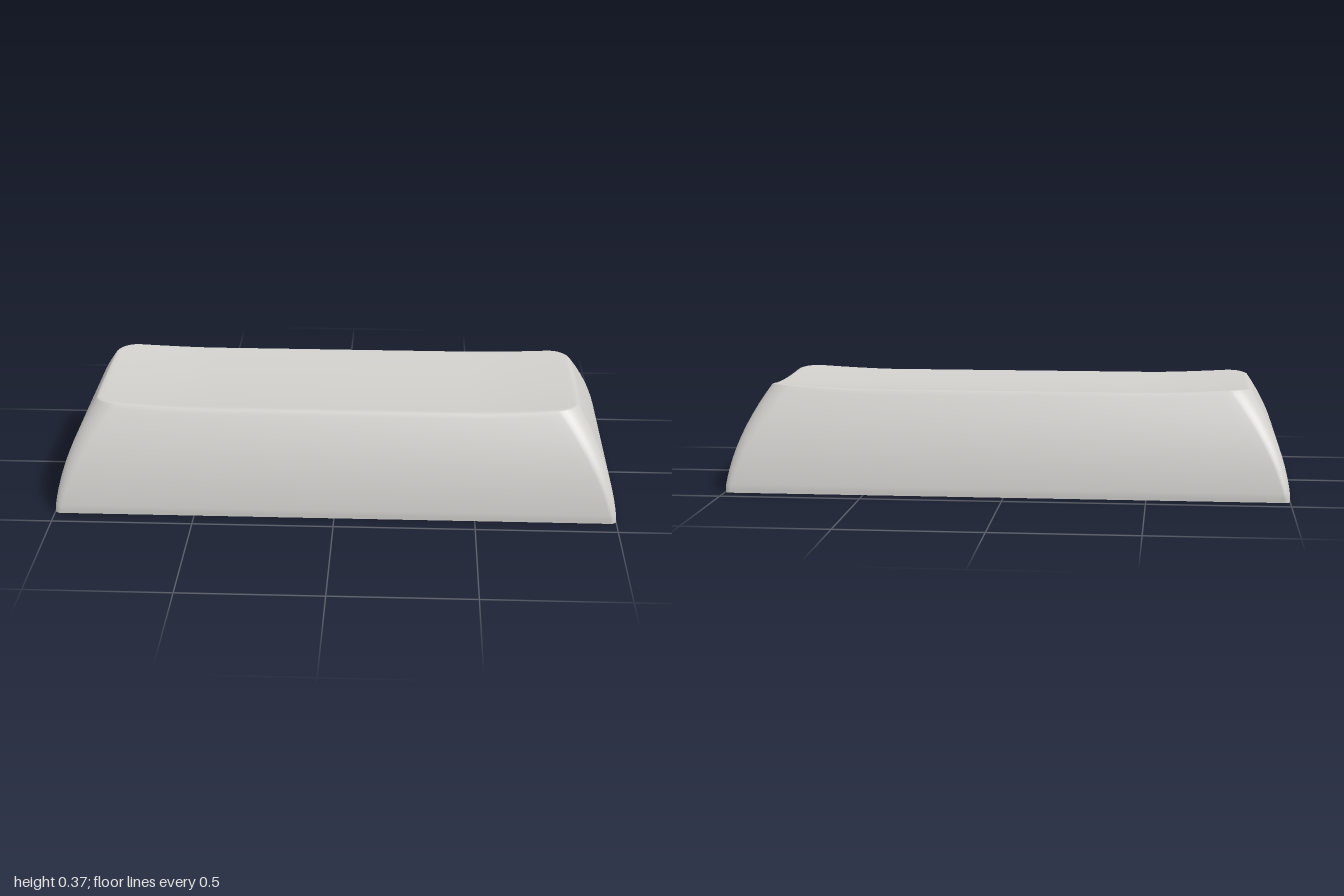
import * as THREE from 'three';
import { mergeVertices, toCreasedNormals } from 'three/addons/utils/BufferGeometryUtils.js';

const HX = 1, HZ = 0.435;            // half footprint
const LONG = 40, SHORT = 16, CORNER = 8;
const RIM = 0.149, RIM_DROP = 0.005; // inset of the dish edge, softening of the rim
const CEILING = 0.252;

// Height of the dished top: hollow across z, lifting near both ends
function dish(x, z) {
  const end = Math.max(0, (Math.abs(x) - 0.5) / 0.36);
  return 0.34 + 0.0185 * (z / 0.28) ** 2 + 0.018 * end ** 1.5;
}

// Inward lean of a side at height y: a short upright foot, then an arc
function lean(y, start) {
  const t = Math.max(0, y - 0.02) / 0.35;
  return start * t + (0.136 - start) * t * t;
}

// Outline of the outer body at height y
const bodyLoop = (y) => loop(HX - lean(y, 0.04), HZ - lean(y, 0.055), 0.02 + 0.06 * y / 0.37);

// Rounded rectangle loop in x/z with evenly divided sides
function loop(hx, hz, radius) {
  hx = Math.max(hx, 0);
  hz = Math.max(hz, 0);
  const r = Math.min(radius, hx, hz), pts = [];
  const corners = [[1, 1], [-1, 1], [-1, -1], [1, -1]];
  corners.forEach(([sx, sz], q) => {
    const cx = sx * (hx - r), cz = sz * (hz - r);
    for (let i = 0; i <= CORNER; i++) {
      const a = (q + i / CORNER) * Math.PI / 2;
      pts.push([cx + r * Math.cos(a), cz + r * Math.sin(a)]);
    }
    const [nx, nz] = corners[(q + 1) % 4];
    const a = (q + 1) * Math.PI / 2;
    const end = [nx * (hx - r) + r * Math.cos(a), nz * (hz - r) + r * Math.sin(a)];
    const start = pts[pts.length - 1], n = q % 2 ? SHORT : LONG;
    for (let i = 1; i < n; i++) {
      pts.push([0, 1].map((k) => start[k] + (end[k] - start[k]) * i / n));
    }
  });
  return pts;
}

// Skin a list of equal-length rings of [x, y, z]
function loft(rings, flip) {
  const n = rings[0].length, index = [];
  for (let i = 0; i < rings.length - 1; i++) {
    for (let j = 0; j < n; j++) {
      const a = i * n + j, b = i * n + (j + 1) % n, c = a + n, d = b + n;
      if (flip) index.push(a, b, c, b, d, c);
      else index.push(a, c, b, b, c, d);
    }
  }
  const geo = new THREE.BufferGeometry();
  geo.setAttribute('position', new THREE.Float32BufferAttribute(rings.flat(2), 3));
  geo.setIndex(index);
  return geo;
}

function outerShell() {
  const rings = [];
  // Curved sides, ending just below the dished rim
  for (const u of [0, 0.03, 0.055, 0.08, 0.13, 0.2, 0.3, 0.4, 0.5, 0.6, 0.7, 0.8, 0.9, 0.96, 1]) {
    rings.push(bodyLoop(u * 0.365).map(([x, z], k) => {
      const y = u * (dish(x, z) - RIM_DROP);
      const p = bodyLoop(y)[k];
      return [p[0], y, p[1]];
    }));
  }
  // Softened rim, then the dish closing to a line along the middle
  const rim = rings[rings.length - 1];
  const inner = loop(HX - RIM, HZ - RIM, 0.07);
  for (const s of [0.2, 0.5, 1]) {
    rings.push(inner.map(([x, z], k) => {
      const px = rim[k][0] + (x - rim[k][0]) * s, pz = rim[k][2] + (z - rim[k][2]) * s;
      return [px, dish(px, pz) - RIM_DROP * (1 - s) ** 2.5, pz];
    }));
  }
  for (let i = 1; i <= 10; i++) {
    const inset = RIM + (HZ - RIM) * i / 10;
    rings.push(loop(HX - inset, HZ - inset, 0.07 * (1 - i / 10)).map(([x, z]) => [x, dish(x, z), z]));
  }
  const geo = mergeVertices(loft(rings, false), 1e-5);
  geo.computeVertexNormals();
  return geo;
}

// Bottom lip, tapered inner walls and flat ceiling
function cavity() {
  const levels = [
    [HX, HZ, 0.02, 0], [0.957, 0.392, 0, 0],
    [0.877, 0.312, 0, CEILING], [0.565, 0, 0, CEILING],
  ];
  const rings = levels.map(([hx, hz, r, y]) => loop(hx, hz, r).map(([x, z]) => [x, y, z]));
  return toCreasedNormals(loft(rings, true), 0.2);
}

// Round post with a cross-shaped socket
function stemGeometry() {
  const shape = new THREE.Shape().absarc(0, 0, 0.133, 0, Math.PI * 2);
  const L = 0.102, w = 0.029;
  const cross = [
    [L, -w], [L, w], [w, w], [w, L], [-w, L], [-w, w],
    [-L, w], [-L, -w], [-w, -w], [-w, -L], [w, -L], [w, -w],
  ];
  shape.holes.push(new THREE.Path(cross.map(([x, y]) => new THREE.Vector2(x, y))));
  const geo = new THREE.ExtrudeGeometry(shape, { depth: CEILING + 0.002, bevelEnabled: false, curveSegments: 40 });
  geo.rotateX(-Math.PI / 2);
  return toCreasedNormals(geo, 0.5);
}

export function createModel() {
  const model = new THREE.Group();
  model.name = 'keycap';
  const plastic = new THREE.MeshStandardMaterial({ color: 0xd0cfcc });
  plastic.name = 'light grey plastic';

  const add = (name, geo, x = 0) => {
    const mesh = new THREE.Mesh(geo, plastic);
    mesh.name = name;
    mesh.position.x = x;
    model.add(mesh);
  };
  add('outerShell', outerShell());
  add('innerCavity', cavity());

  const stem = stemGeometry();
  add('rightStem', stem, -0.567);
  add('centreStem', stem);
  add('leftStem', stem, 0.567);
  return model;
}
